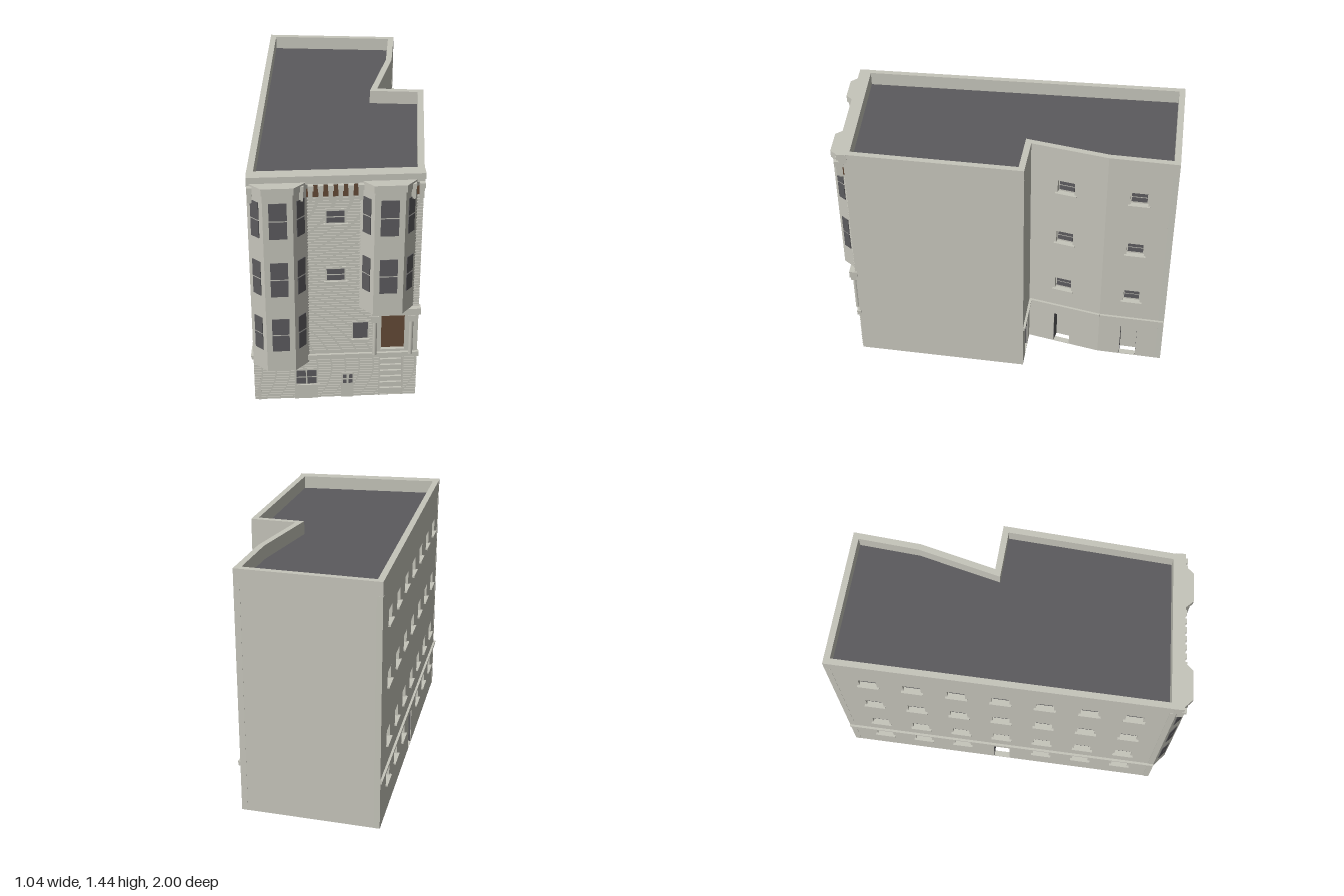
import * as THREE from 'three';

const mat = (name, color) => Object.assign(new THREE.MeshStandardMaterial({ color }), { name });

export function createModel() {
  const stone = mat('pale stone', 0xc6c5bb);
  const glass = mat('dark glass', 0x5c5b5e);
  const roofing = mat('roof grey', 0x5b5a5d);
  const wood = mat('brown wood', 0x634936);
  const model = new THREE.Group();
  const H = 1.44, ROOF = 1.36, T = 0.035;

  // Box given by its minimum and maximum corners
  function box(parent, name, m, x0, x1, y0, y1, z0, z1) {
    const mesh = new THREE.Mesh(new THREE.BoxGeometry(x1 - x0, y1 - y0, z1 - z0), m);
    mesh.position.set((x0 + x1) / 2, (y0 + y1) / 2, (z0 + z1) / 2);
    mesh.name = name;
    parent.add(mesh);
    return mesh;
  }
  const toV2 = (pts) => pts.map(([x, z]) => new THREE.Vector2(x, -z));

  // Upright prism over a plan outline, optionally with a hole
  function prism(name, m, pts, y0, y1, hole) {
    const shape = new THREE.Shape(toV2(pts));
    if (hole) shape.holes.push(new THREE.Path(toV2(hole)));
    const geo = new THREE.ExtrudeGeometry(shape, { depth: y1 - y0, bevelEnabled: false });
    geo.rotateX(-Math.PI / 2).translate(0, y0, 0);
    const mesh = new THREE.Mesh(geo, m);
    mesh.name = name;
    model.add(mesh);
  }

  // Group whose x runs along a->b and whose z points outward
  function facade(name, a, b) {
    const g = new THREE.Group();
    g.name = name;
    g.position.set(a[0], 0, a[1]);
    g.rotation.y = Math.atan2(a[1] - b[1], b[0] - a[0]);
    g.userData.length = Math.hypot(b[0] - a[0], b[1] - a[1]);
    model.add(g);
    return g;
  }

  // Wall panel with rectangular openings [x0, x1, y0, y1]
  function wallPanel(g, openings) {
    const L = g.userData.length;
    const rect = (C, x0, x1, y0, y1) => new C([[x0, y0], [x1, y0], [x1, y1], [x0, y1]].map((p) => new THREE.Vector2(...p)));
    const shape = rect(THREE.Shape, 0, L, 0, ROOF);
    openings.forEach((o) => shape.holes.push(rect(THREE.Path, ...o)));
    const geo = new THREE.ExtrudeGeometry(shape, { depth: T, bevelEnabled: false });
    const mesh = new THREE.Mesh(geo.translate(0, 0, -T), stone);
    mesh.name = 'wall';
    g.add(mesh);
  }

  // Grid of glass panes
  function panes(g, x0, x1, y0, y1, cols, rows, z, bar = 0.008) {
    const w = (x1 - x0 + bar) / cols, h = (y1 - y0 + bar) / rows;
    for (let i = 0; i < cols; i++) for (let j = 0; j < rows; j++) {
      const x = x0 + i * w, y = y0 + j * h;
      box(g, 'windowPane', glass, x, x + w - bar, y, y + h - bar, z - 0.003, z + 0.003);
    }
  }

  // Small recessed window: returns its opening
  function sideWindow(g, x, y) {
    box(g, 'windowFrame', stone, x - 0.05, x + 0.05, y - 0.045, y + 0.04, -T, -0.024);
    panes(g, x - 0.044, x + 0.044, y - 0.03, y + 0.03, 1, 2, -0.022);
    box(g, 'windowSill', stone, x - 0.062, x + 0.062, y - 0.05, y - 0.04, -0.02, 0.014);
    return [x - 0.05, x + 0.05, y - 0.045, y + 0.04];
  }

  // Deep side door with dark jambs: returns its opening
  function sideDoor(g, x) {
    box(g, 'door', stone, x - 0.052, x + 0.052, 0.004, 0.228, -0.075, -0.065);
    for (const s of [-1, 1]) {
      box(g, 'doorJamb', glass, x + s * 0.051 - 0.002, x + s * 0.051 + 0.002, 0.004, 0.228, -0.075, -0.004);
    }
    box(g, 'doorHead', stone, x - 0.052, x + 0.052, 0.224, 0.23, -0.075, -0.004);
    return [x - 0.05, x + 0.05, 0.004, 0.225];
  }

  // Plan outline, starting front right of the viewer's left and going round
  const plan = [[-0.51, 0.915], [0.397, 0.915], [0.514, -0.075], [0.247, -0.106], [0.374, -0.53], [0.426, -0.912], [-0.363, -1]];
  const n = plan.length;
  const inward = plan.map((p, i) => {
    const q = plan[(i + 1) % n], dx = q[0] - p[0], dz = q[1] - p[1], l = Math.hypot(dx, dz);
    return [dz / l, -dx / l];
  });
  const inset = plan.map((p, i) => {
    const a = inward[(i + n - 1) % n], b = inward[i], k = T / (1 + a[0] * b[0] + a[1] * b[1]);
    return [p[0] + (a[0] + b[0]) * k, p[1] + (a[1] + b[1]) * k];
  });
  prism('parapet', stone, plan, ROOF, H, inset);
  prism('roof', roofing, inset, ROOF - 0.02, ROOF + 0.002);

  // Walls with their windows, doors and belt course
  const names = ['frontWall', 'rightWall', 'notchWall', 'slantedWall', 'rearRightWall', 'backWall', 'leftWall'];
  const floors = [1.185, 0.828, 0.475];
  names.forEach((name, i) => {
    const g = facade(name, plan[i], plan[(i + 1) % n]), L = g.userData.length, holes = [];
    if (i === 0) holes.push([0.705, 0.835, 0.32, 0.555], [0.7, 0.83, 0.004, 0.26]);
    if (i === 2) holes.push(sideDoor(g, L * 0.5));
    if (i === 3 || i === 4) {
      floors.forEach((y) => holes.push(sideWindow(g, L * 0.47, y)));
      holes.push(sideDoor(g, L * 0.47));
    }
    if (i === 6) {
      for (let k = 0; k < 7; k++) {
        const x = L * (0.113 + 0.13 * k);
        floors.forEach((y) => holes.push(sideWindow(g, x, y)));
        holes.push(k === 3 ? sideDoor(g, x) : sideWindow(g, x, 0.228));
      }
    }
    if ([2, 3, 4, 6].includes(i)) {
      box(g, 'beltCourse', stone, 0, L, 0.28, 0.305, -0.01, 0.01);
      box(g, 'beltCourseCap', stone, 0, L, 0.298, 0.306, -0.01, 0.014);
    }
    wallPanel(g, holes);
  });

  // Front details, z measured from the front wall
  const front = new THREE.Group();
  front.name = 'frontDetails';
  front.position.z = 0.915;
  model.add(front);

  // Clapboard ridges
  for (let y = 0.012; y < 1.3; y += 0.0175) {
    const runs = y < 0.26 ? [[-0.51, 0.185], [0.325, 0.397]]
      : y < 0.31 ? [] : y < 0.6 ? [[-0.21, 0.15]] : [[-0.21, 0.08], [0.36, 0.397]];
    runs.forEach(([a, b]) => box(front, 'clapboard', stone, a, b, y, y + 0.006, -0.002, 0.004));
  }

  // Bay windows
  function bay(name, xs, y0, rows) {
    const [a, b, c, d] = xs, D = 0.99;
    const pts = [[a, 0.915], [b, D], [c, D], [d, 0.915]];
    prism(name, stone, [[a, 0.9], ...pts, [d, 0.9]], y0, 1.37);
    const e = 0.01;
    prism(name + 'Cap', stone, [[a, 0.9], [a, 0.925], [b - e / 2, D + e], [c + e / 2, D + e], [d + e, 0.92], [d + e, 0.9]], 1.36, 1.4);
    for (let i = 0; i < 3; i++) {
      const g = facade(name + 'Windows', pts[i], pts[i + 1]), L = g.userData.length;
      const m = i === 1 ? L * 0.2 : L * 0.24;
      rows.forEach((y) => panes(g, m, L - m, y, y + 0.21, 1, 2, 0.001));
    }
  }
  bay('leftBay', [-0.51, -0.432, -0.277, -0.2], 0.255, [1.1, 0.745, 0.39]);
  bay('rightBay', [0.07, 0.14, 0.298, 0.366], 0.61, [1.1, 0.745]);

  // Cornice, brown frieze and brackets
  box(front, 'corniceLower', stone, -0.51, 0.4, 1.385, 1.41, -0.02, 0.025);
  box(front, 'corniceUpper', stone, -0.51, 0.402, 1.405, H, -0.02, 0.035);
  for (const [a, b] of [[-0.215, 0.07], [0.345, 0.397]]) {
    box(front, 'frieze', wood, a, b, 1.305, 1.386, -0.002, 0.006);
  }
  const bracket = (x, z) => {
    box(front, 'bracket', stone, x - 0.011, x + 0.011, 1.3, 1.375, 0, z);
    box(front, 'bracketHead', stone, x - 0.014, x + 0.014, 1.36, 1.39, 0, z + 0.01);
    box(front, 'bracketDrop', stone, x - 0.008, x + 0.008, 1.29, 1.3, 0, z - 0.012);
  };
  for (let i = 0; i < 6; i++) bracket(-0.185 + i * 0.0515, 0.04);
  for (const x of [-0.495, -0.235, 0.34, 0.384]) bracket(x, 0.042);

  // Middle windows
  for (const y of [1.185, 0.83]) {
    box(front, 'windowFrame', stone, -0.11, 0, y - 0.045, y + 0.045, 0, 0.006);
    panes(front, -0.103, -0.01, y - 0.034, y + 0.034, 1, 2, 0.006);
    box(front, 'windowSill', stone, -0.118, 0.008, y - 0.05, y - 0.04, 0, 0.018);
  }
  box(front, 'windowFrame', stone, 0.033, 0.127, 0.4, 0.52, 0, 0.006);
  panes(front, 0.04, 0.12, 0.41, 0.512, 1, 1, 0.006);
  box(front, 'windowSill', stone, 0.03, 0.13, 0.395, 0.405, 0, 0.018);

  // Basement window over a plain panel, and a small door with four lights
  box(front, 'basementPanel', stone, -0.285, -0.155, 0, 0.206, 0, 0.006);
  panes(front, -0.275, -0.163, 0.107, 0.197, 2, 2, 0.006);
  box(front, 'windowSill', stone, -0.27, -0.145, 0.09, 0.1, 0, 0.014);
  box(front, 'basementDoor', stone, -0.024, 0.046, 0, 0.168, 0, 0.006);
  panes(front, -0.014, 0.038, 0.1, 0.158, 2, 2, 0.006, 0.012);

  // Belt course and entrance porch
  box(front, 'beltCourse', stone, -0.21, 0.405, 0.275, 0.305, -0.01, 0.014);
  box(front, 'entranceDoor', wood, 0.19, 0.33, 0.315, 0.56, -0.034, -0.02);
  box(front, 'entablature', stone, 0.14, 0.405, 0.57, 0.61, -0.01, 0.035);
  for (const x of [0.158, 0.357]) {
    const column = new THREE.Mesh(new THREE.CylinderGeometry(0.012, 0.012, 0.25, 12), stone);
    column.name = 'porchColumn';
    column.position.set(x, 0.425, 0.015);
    front.add(column);
    box(front, 'columnCapital', stone, x - 0.02, x + 0.02, 0.525, 0.565, 0, 0.034);
    box(front, 'columnTop', stone, x - 0.014, x + 0.014, 0.56, 0.575, 0, 0.03);
  }

  // Recessed basement steps
  for (let i = 0; i < 7; i++) {
    box(front, 'step', stone, 0.19, 0.32, i * 0.0315, (i + 1) * 0.0315 + 0.012, -0.1, -0.004 - i * 0.012);
  }
  box(front, 'stairBack', glass, 0.188, 0.322, 0, 0.265, -0.105, -0.098);
  for (const x of [0.186, 0.318]) box(front, 'stairSide', stone, x, x + 0.007, 0, 0.265, -0.1, 0.003);
  box(front, 'stairCeiling', stone, 0.186, 0.325, 0.26, 0.266, -0.1, -0.001);

  return model;
}
